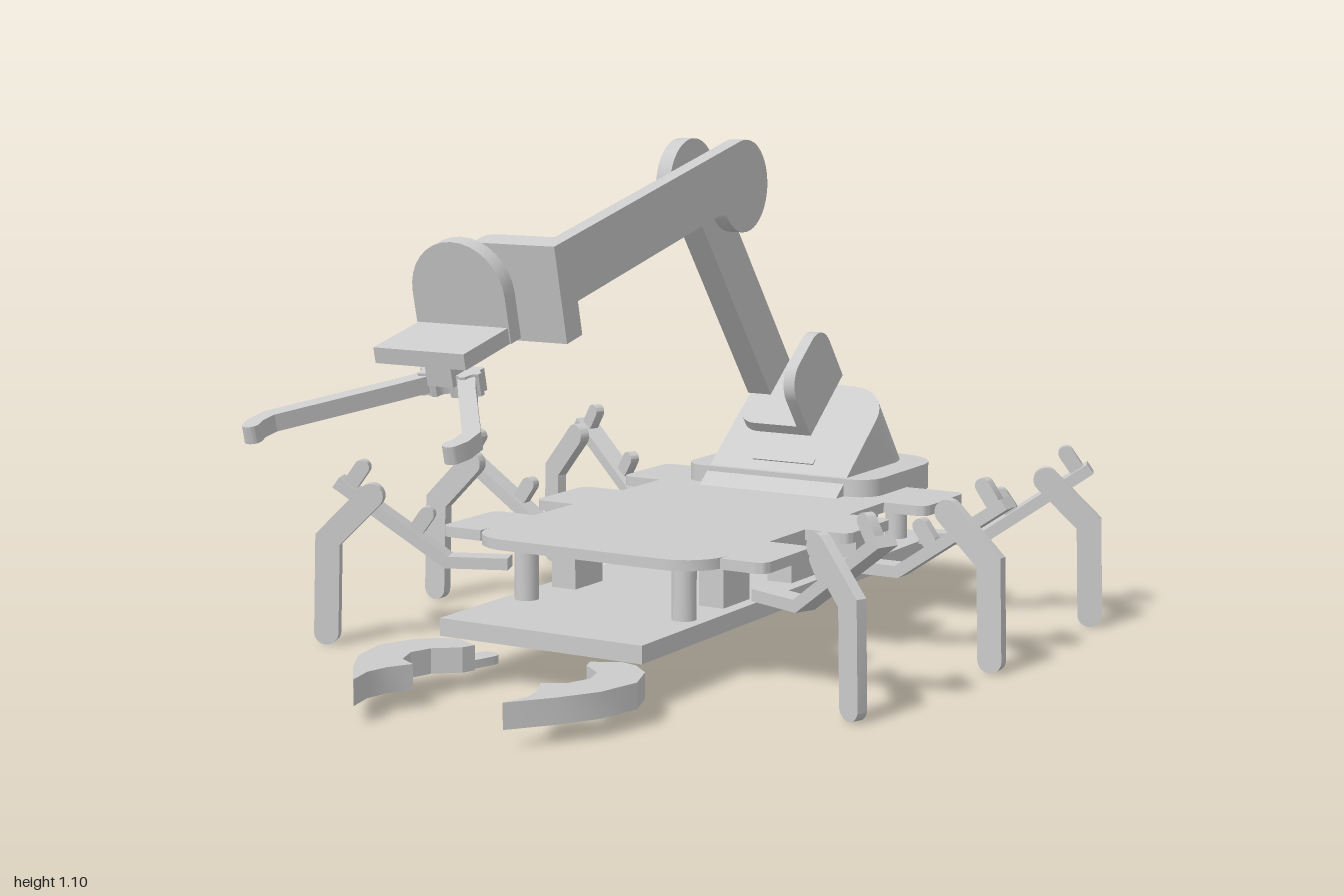
import * as THREE from 'three';
import { toCreasedNormals } from 'three/addons/utils/BufferGeometryUtils.js';

const material = new THREE.MeshStandardMaterial({ color: 0xcccccc });
const PITCH = 0.229; // forearm and gripper tilt
const LEAN = -0.91;  // shoulder housing and upper arm tilt

function add(parent, name, geometry) {
  const mesh = new THREE.Mesh(geometry, material);
  mesh.name = name;
  parent.add(mesh);
  return mesh;
}

function frame(parent, name, x, y, z, tilt = 0) {
  const group = new THREE.Group();
  group.name = name;
  group.position.set(x, y, z);
  group.rotation.x = tilt;
  parent.add(group);
  return group;
}

// Closed polygon; each corner is [x, y, optional rounding radius]
function poly(pts) {
  const shape = new THREE.Shape();
  const n = pts.length;
  pts.forEach((p, i) => {
    const c = new THREE.Vector2(p[0], p[1]);
    const toward = (q) => new THREE.Vector2(q[0], q[1]).sub(c).setLength(p[2] || 0).add(c);
    const a = p[2] ? toward(pts[(i + n - 1) % n]) : c;
    if (i) shape.lineTo(a.x, a.y); else shape.moveTo(a.x, a.y);
    if (!p[2]) return;
    const b = toward(pts[(i + 1) % n]);
    const c1 = a.clone().lerp(c, 0.5523), c2 = b.clone().lerp(c, 0.5523);
    shape.bezierCurveTo(c1.x, c1.y, c2.x, c2.y, b.x, b.y);
  });
  return shape;
}

const rect = (x0, y0, x1, y1, r = [0, 0, 0, 0]) =>
  poly([[x0, y0, r[0]], [x1, y0, r[1]], [x1, y1, r[2]], [x0, y1, r[3]]]);

// Constant-width bar along a path, with rounded ends
function bar(path, width, cap = width * 0.49) {
  const h = width / 2, v = path.map((p) => new THREE.Vector2(...p)), last = v.length - 1;
  const dir = (i) => v[i + 1].clone().sub(v[i]).normalize();
  const left = [], right = [];
  v.forEach((p, i) => {
    const d0 = dir(Math.max(i - 1, 0)), d1 = dir(Math.min(i, last - 1));
    const n = new THREE.Vector2(-d0.y - d1.y, d0.x + d1.x).normalize();
    n.multiplyScalar(h / (n.x * -d1.y + n.y * d1.x));
    const r = i === 0 || i === last ? cap : 0;
    left.push([p.x + n.x, p.y + n.y, r]);
    right.unshift([p.x - n.x, p.y - n.y, r]);
  });
  return poly([...left, ...right]);
}

const extrude = (shape, depth) =>
  new THREE.ExtrudeGeometry(shape, { depth, bevelEnabled: false, curveSegments: 8 });
const finish = (g) => toCreasedNormals(g, 0.5);
// Upright slab in the xy plane from z0 to z1
const slab = (shape, z0, z1) => finish(extrude(shape, z1 - z0).translate(0, 0, z0));
// Horizontal plate drawn in (x, z) from y0 to y1
const plate = (shape, y0, y1) => finish(extrude(shape, y1 - y0).rotateX(Math.PI / 2).translate(0, y1, 0));
// Side profile drawn in (z, y) from x0 to x1
const side = (shape, x0, x1) => finish(extrude(shape, x1 - x0).rotateY(-Math.PI / 2).translate(x1, 0, 0));
const box = (x0, x1, y0, y1, z0, z1) => new THREE.BoxGeometry(x1 - x0, y1 - y0, z1 - z0)
  .translate((x0 + x1) / 2, (y0 + y1) / 2, (z0 + z1) / 2);
const disc = (r, x0, x1) => new THREE.CylinderGeometry(r, r, x1 - x0, 40)
  .rotateZ(Math.PI / 2).translate((x0 + x1) / 2, 0, 0);

function buildBody(root) {
  const body = frame(root, 'body', 0, 0, 0);
  add(body, 'bottomPlate', plate(rect(-0.245, -1, 0.245, 0.395, [0.12, 0.12, 0, 0]), 0.092, 0.13));
  // Deck outline with three tabs on each side
  const half = [];
  for (const [z0, z1] of [[-0.79, -0.58], [-0.41, -0.2], [-0.04, 0.17]]) {
    if (half.length) half.push([0.295, z0]);
    half.push([0.4, z0, 0.025], [0.4, z1, 0.025], [0.295, z1]);
  }
  half.push([0.295, 0.235, 0.1]);
  const mirrored = half.map(([x, z, r]) => [-x, z, r]).reverse();
  add(body, 'topDeck', plate(poly([...half, ...mirrored]), 0.25, 0.273));
  add(body, 'rearDeck', plate(rect(-0.25, -1, 0.25, -0.605, [0.12, 0.12, 0.06, 0.06]), 0.251, 0.313));
  for (const s of [-1, 1]) {
    for (const [x, z] of [[0.195, 0.143], [0.175, -0.892]]) {
      add(body, 'pillar', new THREE.CylinderGeometry(0.026, 0.026, 0.13, 20)).position.set(s * x, 0.19, z);
    }
    for (const z of [-0.043, -0.345, -0.658]) {
      add(body, 'hipServo', box(-0.03, 0.03, 0.125, 0.252, -0.056, 0.056)).position.set(s * 0.185, 0, z);
    }
  }
}

function buildLeg(root, s, hipX, hipZ, splay) {
  const leg = frame(root, 'leg', s * hipX, 0, hipZ);
  leg.rotation.y = -s * splay;
  const flip = (pts) => pts.map(([u, y]) => [s * u, y]);
  add(leg, 'upperLeg', slab(bar(flip([[0, 0.177], [0.138, 0.177], [0.385, 0.348]]), 0.026, 0), -0.026, 0.026));
  for (const [u, y] of [[0.215, 0.235], [0.36, 0.336]]) {
    add(leg, 'legPeg', slab(bar(flip([[u, y], [u - 0.04, y + 0.058]]), 0.034), -0.012, 0.012));
  }
  add(leg, 'lowerLeg', slab(bar(flip([[0.268, 0.352], [0.385, 0.235], [0.392, 0]]), 0.055), 0.073, 0.098));
}

function buildClaw(root, s) {
  const claw = frame(root, 'frontClaw', 0, 0, 0);
  const outline = [[0.2, 0.39], [0.235, 0.4], [0.28, 0.44], [0.31, 0.52], [0.288, 0.62], [0.24, 0.7],
    [0.175, 0.785], [0.19, 0.72], [0.18, 0.67], [0.152, 0.62], [0.195, 0.595], [0.215, 0.54], [0.2, 0.49], [0.15, 0.45], [0.14, 0.42]];
  add(claw, 'pincer', plate(poly(outline.map(([x, z]) => [s * x, z])), 0.037, 0.09));
  add(claw, 'pincerRoot', plate(bar([[s * 0.15, 0.33], [s * 0.18, 0.43]], 0.05), 0.037, 0.055));
}

function buildArm(root) {
  // Leaning shoulder housing, its back trimmed to meet the deck
  const g = extrude(rect(-0.18, 0, 0.18, 0.36, [0, 0, 0.1, 0.1]), 0.22).translate(0, 0, -0.22);
  const p = g.attributes.position;
  for (let i = 0; i < p.count; i++) {
    if (p.getZ(i) < -0.1) p.setZ(i, -Math.min(0.22, Math.max(0.004, p.getY(i) * 0.778)));
  }
  g.computeVertexNormals();
  const shoulder = frame(root, 'shoulder', 0, 0.27, -0.565, LEAN);
  add(shoulder, 'shoulderHousing', finish(g));
  add(shoulder, 'housingSlot', box(-0.08, 0.08, 0.1, 0.116, -0.01, 0.003));

  // Upper arm, from the elbow down to the shoulder bracket
  const upper = frame(root, 'upperArm', 0, 1, -0.26, LEAN);
  add(upper, 'upperArmBar', box(-0.055, -0.02, -0.0575, 0.0575, -0.59, 0));
  add(upper, 'upperArmRib', box(-0.02, 0.004, -0.0575, 0.0575, -0.59, -0.05));
  add(upper, 'upperElbowDisc', disc(0.1, -0.055, -0.02));
  add(upper, 'bracketBase', slab(rect(-0.09, -0.1, 0.1, 0.1, [0.05, 0, 0, 0.05]), -0.672, -0.645));
  add(upper, 'bracketCheek', side(rect(-0.672, -0.1, -0.5, 0.1, [0, 0.06, 0.06, 0]), 0.072, 0.1));

  // Forearm, from the elbow to the wrist cap
  const fore = frame(root, 'forearm', 0, 1, -0.26, PITCH);
  add(fore, 'forearmBar', box(0.075, 0.11, -0.03, 0.1, 0, 0.73));
  add(fore, 'forearmElbowDisc', disc(0.1, 0.075, 0.11));
  add(fore, 'wristCap', slab(rect(-0.145, -0.1, 0.11, 0.1, [0.08, 0, 0, 0.08]), 0.7, 0.757));

  // Gripper
  const grip = frame(root, 'gripper', -0.033, 0.752, 0.565, PITCH);
  add(grip, 'wristDisc', slab(rect(-0.108, 0, 0.108, 0.2, [0, 0, 0.107, 0.107]), 0, 0.035));
  add(grip, 'gripperShelf', box(-0.105, 0.105, 0, 0.032, 0, 0.188));
  add(grip, 'gripperNeck', box(-0.03, 0.03, -0.06, 0.002, 0.085, 0.135));
  for (const s of [-1, 1]) {
    const teeth = [];
    for (let i = 0; i < 24; i++) {
      const a = (i / 24) * Math.PI * 2, r = i % 4 < 2 ? 0.036 : 0.028;
      teeth.push([s * 0.036 + r * Math.cos(a), 0.095 + r * Math.sin(a)]);
    }
    add(grip, 'fingerGear', plate(poly(teeth), -0.085, -0.04));
    const path = [[0.036, 0.095], [0.09, 0.174], [0.232, 0.37], [0.236, 0.41], [0.224, 0.447]];
    add(grip, 'finger', plate(bar(path.map(([x, z]) => [s * x, z]), 0.034), -0.079, -0.045));
  }
}

export function createModel() {
  const root = new THREE.Group();
  root.name = 'scorpionRobot';
  buildBody(root);
  for (const s of [-1, 1]) {
    buildLeg(root, s, 0.314, 0.03, 0.384);
    buildLeg(root, s, 0.32, -0.34, 0);
    buildLeg(root, s, 0.324, -0.707, -0.384);
    buildClaw(root, s);
  }
  buildArm(root);
  return root;
}
